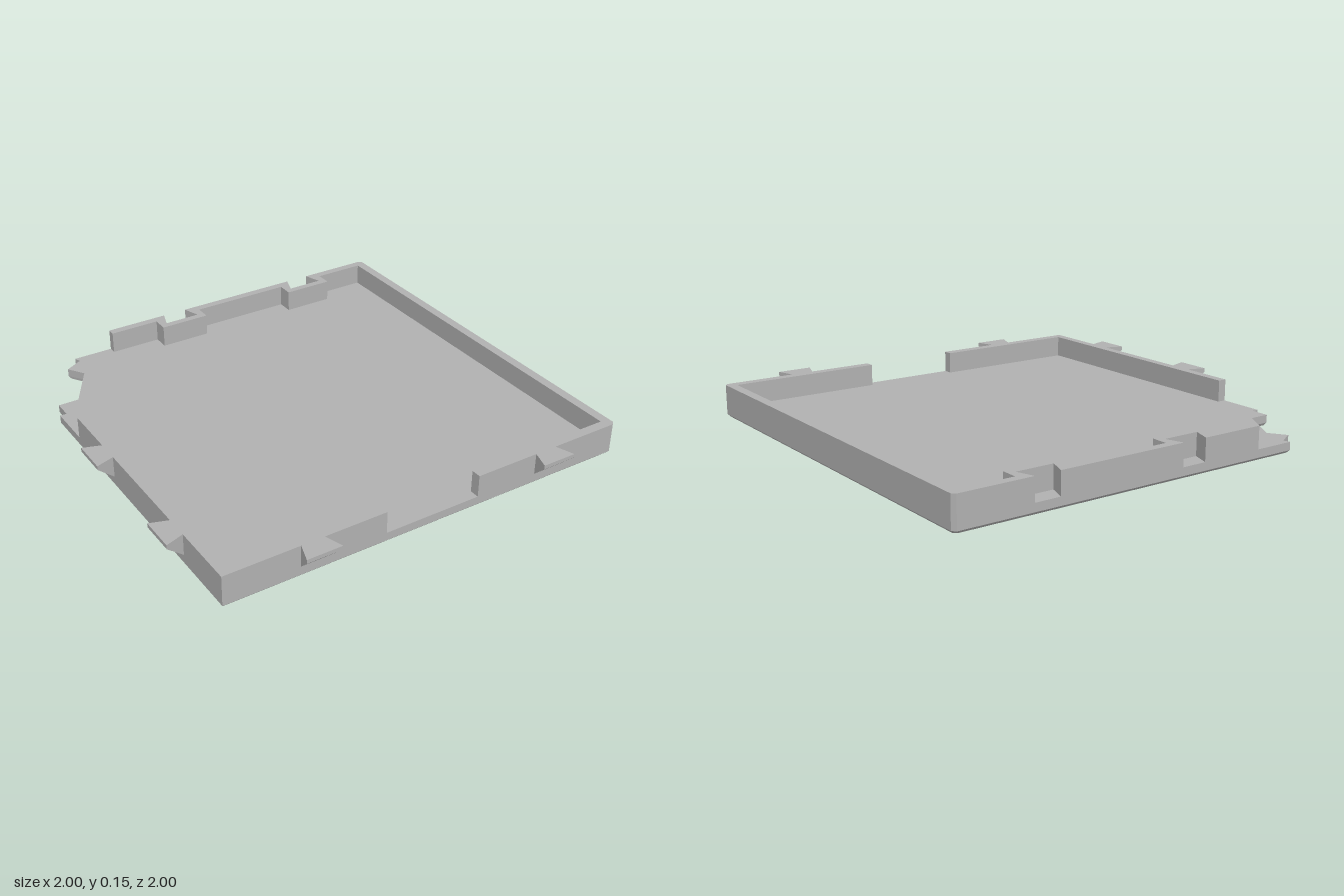
import * as THREE from 'three';

const grey = new THREE.MeshStandardMaterial({ color: 0xb0b0b0 });
grey.name = 'grey';

const FLOOR = 0.048, TOP = 0.148, CHAMFER = 0.012;

// Upright prism from an [x, z] plan outline
function prism(plan, y0, y1, steps = 1) {
  const shape = new THREE.Shape(plan.map(([x, z]) => new THREE.Vector2(x, -z)));
  const g = new THREE.ExtrudeGeometry(shape, { depth: y1 - y0, steps, bevelEnabled: false });
  return g.rotateX(-Math.PI / 2).translate(0, y0, 0);
}

// Dovetail tab pointing +z from the origin: wider and shallower at its tip
function tabGeometry() {
  const g = new THREE.BoxGeometry(1, 1, 1).toNonIndexed();
  const p = g.attributes.position;
  for (let i = 0; i < p.count; i++) {
    const tip = p.getZ(i) > 0, top = p.getY(i) > 0;
    p.setXYZ(i, Math.sign(p.getX(i)) * (tip ? 0.08 : 0.052), top ? TOP : tip ? 0.13 : 0.05, tip ? 0.083 : 0);
  }
  g.computeVertexNormals();
  return g;
}

export function createModel() {
  const group = new THREE.Group();
  const add = (name, geometry) => {
    const mesh = new THREE.Mesh(geometry, grey);
    mesh.name = name;
    group.add(mesh);
    return mesh;
  };

  // Floor plate with the jagged broken corner
  const floor = prism([
    [-0.92, 0.914], [0.985, 0.914], [1, 0.9], [1, -0.985], [0.985, -1],
    [-0.655, -1], [-0.645, -0.97], [-0.725, -0.925], [-0.675, -0.85],
    [-0.795, -0.645], [-0.89, -0.645], [-0.89, -0.56], [-0.92, -0.56],
  ], 0, FLOOR, FLOOR / CHAMFER);
  // Chamfer: draw the bottom ring in towards the centre
  const p = floor.attributes.position;
  for (let i = 0; i < p.count; i++) {
    if (p.getY(i) > 0.001) continue;
    p.setX(i, 0.04 + (p.getX(i) - 0.04) * 0.988);
    p.setZ(i, -0.043 + (p.getZ(i) + 0.043) * 0.988);
  }
  floor.computeVertexNormals();
  add('floorPlate', floor);

  // Right-hand wall with its return along the front
  add('tabWall', prism([
    [-0.92, -0.35], [-0.88, -0.35], [-0.88, 0.87], [-0.19, 0.87], [-0.19, 0.914], [-0.92, 0.914],
  ], FLOOR, TOP));

  // Front, side and back wall; the back carries dovetail sockets in thickened blocks
  const sockets = [-0.115, 0.597];
  const outer = [...sockets].reverse().flatMap(x =>
    [[x + 0.058, -1], [x + 0.085, -0.92], [x - 0.085, -0.92], [x - 0.058, -1]]);
  const inner = sockets.flatMap(x =>
    [[x - 0.118, -0.963], [x - 0.118, -0.888], [x + 0.118, -0.888], [x + 0.118, -0.963]]);
  add('socketWall', prism([
    [0.26, 0.87], [0.26, 0.914], [0.985, 0.914], [1, 0.9], [1, -0.985], [0.985, -1],
    ...outer, [-0.468, -1], [-0.468, -0.963], ...inner, [0.957, -0.963], [0.957, 0.87],
  ], FLOOR, TOP));

  // Dovetail tabs on the front and the -x side
  const tab = tabGeometry();
  for (const x of [-0.53, 0.61]) add('frontTab', tab).position.set(x, 0, 0.914);
  for (const z of [-0.045, 0.567]) {
    const side = add('sideTab', tab);
    side.position.set(-0.919, 0, z);
    side.rotation.y = -Math.PI / 2;
  }
  return group;
}
